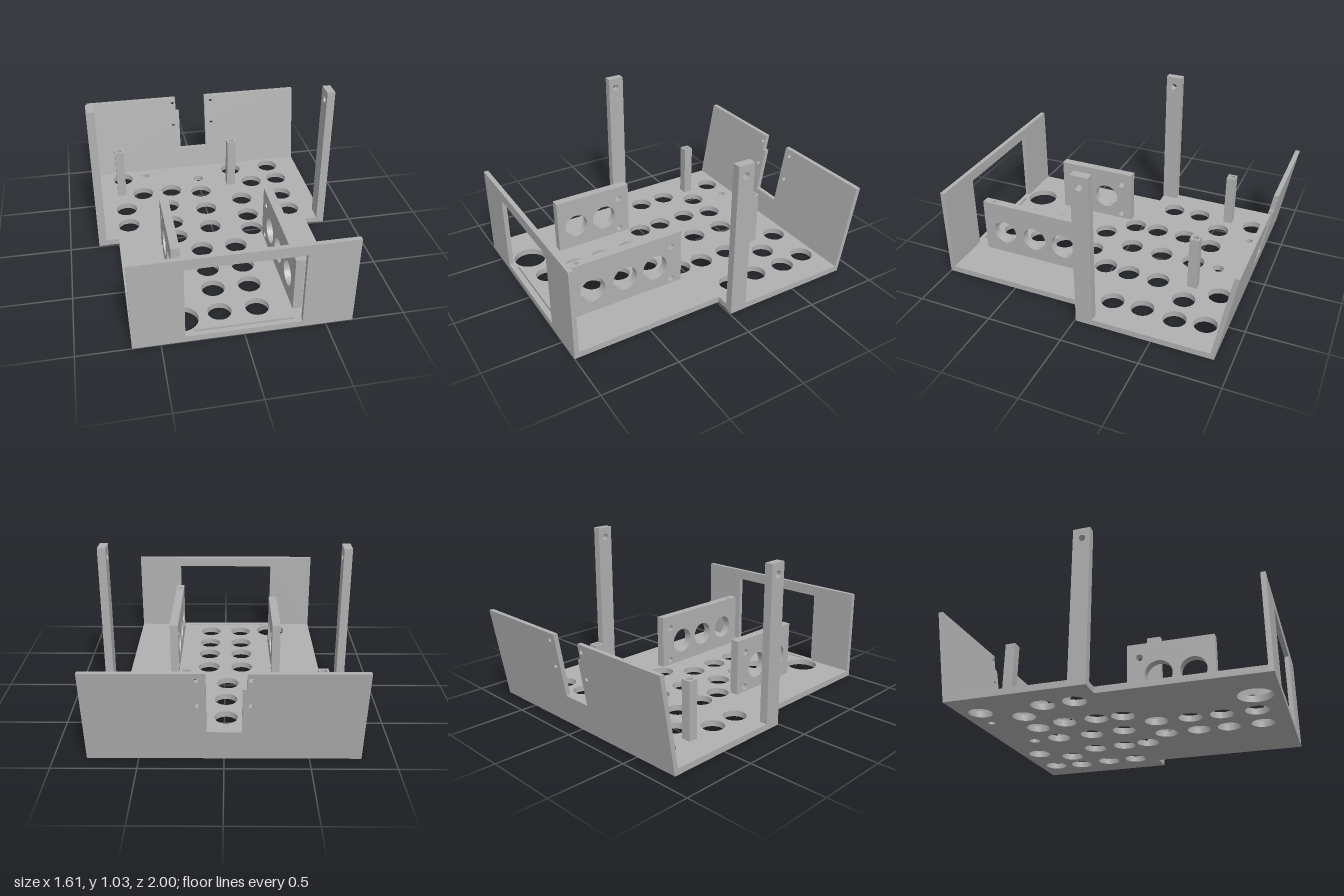
import * as THREE from 'three';
import { toCreasedNormals } from 'three/addons/utils/BufferGeometryUtils.js';

const grey = new THREE.MeshStandardMaterial({ color: 0xb0b0b0 });
grey.name = 'plain grey';

// Outline from corner points, with round holes given as [x, y, radius]
function outline(points, holes = []) {
  const shape = new THREE.Shape(points.map(([x, y]) => new THREE.Vector2(x, y)));
  for (const [x, y, r] of holes) {
    const p = new THREE.Path();
    p.absarc(x, y, r, 0, Math.PI * 2, true);
    shape.holes.push(p);
  }
  return shape;
}
const rect = (x0, y0, x1, y1) => [[x0, y0], [x1, y0], [x1, y1], [x0, y1]];
const extrude = (shape, depth) =>
  new THREE.ExtrudeGeometry(shape, { depth, bevelEnabled: false, curveSegments: 28 });

// Plan shape (x, z) raised from y0 to y1
const slab = (shape, y0, y1) => extrude(shape, y1 - y0).rotateX(Math.PI / 2).translate(0, y1, 0);
// Side shape (-z, y) widened from x0 to x1
const sidePlate = (shape, x0, x1) => extrude(shape, x1 - x0).rotateY(Math.PI / 2).translate(x0, 0, 0);

export function createModel() {
  const model = new THREE.Group();
  model.name = 'chassis';
  const add = (name, geometry) => {
    const mesh = new THREE.Mesh(toCreasedNormals(geometry, 0.6), grey);
    mesh.name = name;
    model.add(mesh);
  };

  // Perforated floor, wide at the back, with a groove behind the front wall
  const r = 0.074;
  const holes = [
    [-0.58, -0.77], [0.275, -0.77], [0.575, -0.77], [-0.445, -0.545], [-0.23, -0.55],
    [-0.01, -0.5], [0.4, -0.57], [0.6, -0.58], [-0.585, -0.36], [-0.275, -0.35],
    [0.275, -0.35], [0.58, -0.36], [-0.01, -0.27], [-0.585, -0.16], [-0.275, -0.14],
    [0.275, -0.14], [0.585, -0.16], [-0.02, -0.045], [-0.27, 0.03], [0.265, 0.03],
  ].map(([x, z]) => [x, z, r]);
  for (const z of [0.2, 0.415, 0.61, 0.825]) holes.push([-0.12, z, r], [0.115, z, r]);
  holes.push([-0.4, -0.79, 0.023], [0, -0.68, 0.036], [-0.358, 0.85, 0.105]);
  add('floor', slab(outline([
    [-0.805, -0.875], [0.805, -0.875], [0.805, -0.01], [0.67, -0.01], [0.67, 0.97],
    [0.3, 0.97], [0.3, 0.955], [-0.3, 0.955], [-0.3, 0.97], [-0.67, 0.97],
    [-0.67, -0.01], [-0.805, -0.01],
  ], holes), 0, 0.04));
  add('grooveBottom', slab(outline(rect(-0.3, 0.955, 0.3, 0.97)), 0, 0.02));

  // Front wall with a rectangular window
  const front = outline(rect(-0.67, 0, 0.67, 0.61));
  front.holes.push(new THREE.Path(
    rect(-0.355, 0.04, 0.355, 0.54).map(([x, y]) => new THREE.Vector2(x, y))));
  add('frontWall', extrude(front, 0.03).translate(0, 0, 0.97));

  // Back wall with a stepped notch and screw holes, leaning backwards
  const screws = [];
  for (const x of [-0.15, 0.15]) for (const y of [0.39, 0.565]) screws.push([x, y, 0.014]);
  const back = extrude(outline([
    [-0.805, 0], [0.805, 0], [0.805, 0.61], [0.1, 0.61], [0.1, 0.2],
    [-0.103, 0.2], [-0.103, 0.503], [-0.128, 0.503], [-0.128, 0.61], [-0.805, 0.61],
  ], screws), 0.03);
  const pos = back.attributes.position;
  for (let i = 0; i < pos.count; i++) {
    pos.setZ(i, pos.getZ(i) - 0.895 - 0.172 * pos.getY(i));
  }
  back.computeVertexNormals();
  add('backWall', back);

  // Tall side posts with a cross hole near the top
  const post = outline(rect(0.007, 0, 0.118, 1.035), [[0.06, 0.965, 0.022]]);
  add('leftTallPost', sidePlate(post, 0.753, 0.806));
  add('rightTallPost', sidePlate(post, -0.806, -0.753));

  // Short square posts drilled from above
  for (const [name, x] of [['leftShortPost', 0.235], ['rightShortPost', -0.602]]) {
    add(name, slab(outline(rect(x - 0.031, -0.61, x + 0.031, -0.547), [[x, -0.579, 0.019]]), 0.04, 0.412));
  }

  // Upright mounting plates with large bores and small screw holes
  const small = [[-0.17, 0.32, 0.021], [-0.17, 0.075, 0.021]];
  const bores = [[-0.29, 0.2, 0.087], [-0.505, 0.2, 0.083]];
  add('rightMountPlate', sidePlate(
    outline(rect(-0.64, 0.035, -0.092, 0.412), [...small, ...bores]), -0.385, -0.328));
  add('leftMountPlate', sidePlate(outline([
    [-0.885, 0.035], [-0.095, 0.035], [-0.095, 0.412], [-0.785, 0.412],
    [-0.785, 0.33], [-0.845, 0.33], [-0.845, 0.412], [-0.885, 0.412],
  ], [...small, ...bores, [-0.73, 0.2, 0.083]]), 0.325, 0.382));
  // Drilled block let into the top of the longer plate
  add('leftMountPlateTopHole', slab(
    outline(rect(0.325, 0.785, 0.382, 0.845), [[0.353, 0.815, 0.015]]), 0.33, 0.412));

  return model;
}
